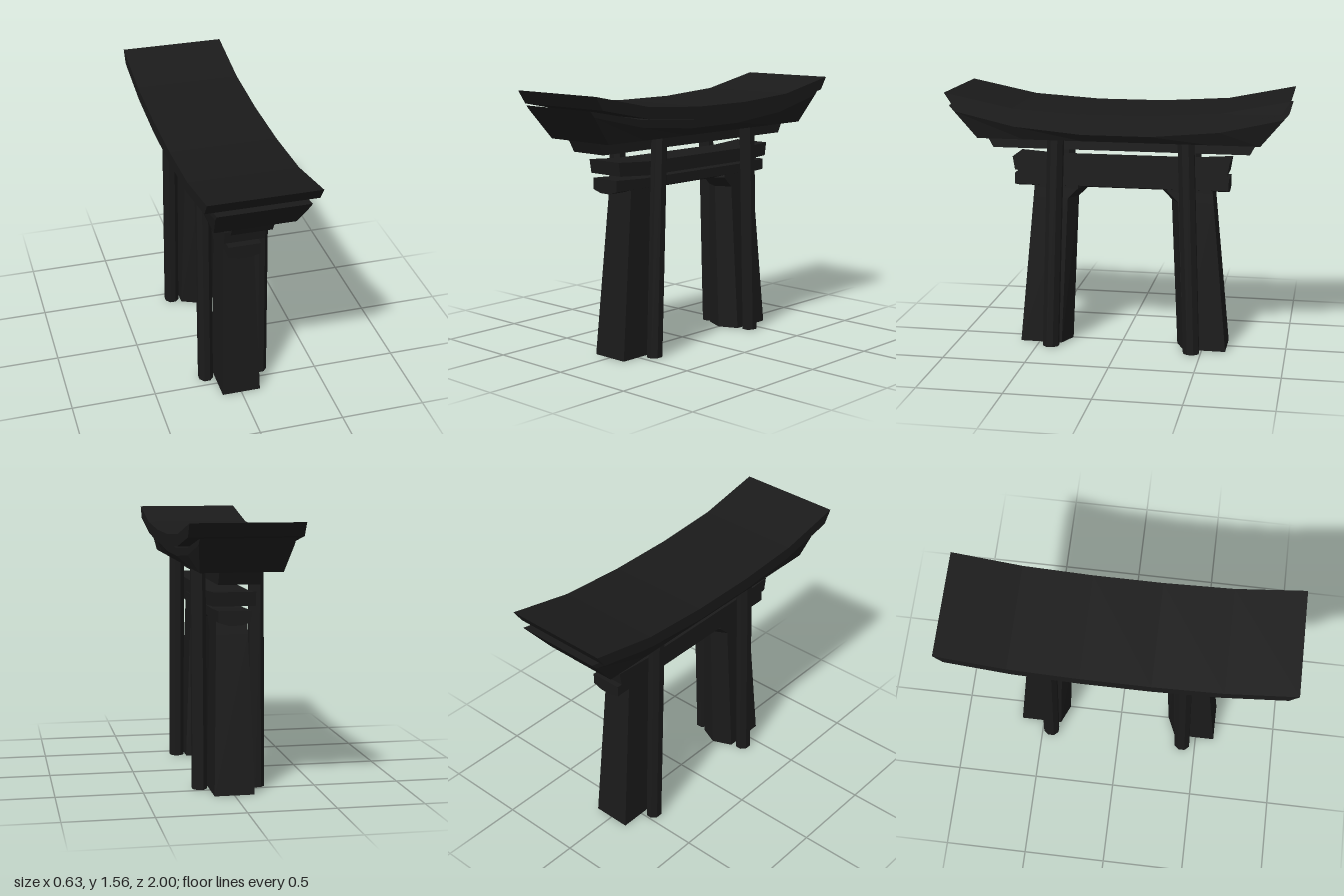
import * as THREE from 'three';

const dark = new THREE.MeshStandardMaterial({ color: 0x1a1a1a, flatShading: true });

// Skins a list of closed rings of [x, y, z] points and caps both ends.
function loft(name, rings) {
  const pos = [];
  const tri = (a, b, c) => pos.push(...a, ...b, ...c);
  const n = rings[0].length;
  for (let i = 0; i < rings.length - 1; i++) {
    for (let j = 0; j < n; j++) {
      const k = (j + 1) % n;
      const a = rings[i][j], b = rings[i][k], c = rings[i + 1][k], d = rings[i + 1][j];
      tri(a, b, c);
      tri(a, c, d);
    }
  }
  const first = rings[0], last = rings[rings.length - 1];
  for (let j = 1; j < n - 1; j++) {
    tri(first[0], first[j + 1], first[j]);
    tri(last[0], last[j], last[j + 1]);
  }
  const geometry = new THREE.BufferGeometry();
  geometry.setAttribute('position', new THREE.Float32BufferAttribute(pos, 3));
  geometry.computeVertexNormals();
  const mesh = new THREE.Mesh(geometry, dark);
  mesh.name = name;
  return mesh;
}

// Beam along z, mirrored in x and z. Each station lists
// [halfWidth, y, z] from top to bottom, stations run from the end to the middle.
function beam(name, stations) {
  const mirrored = stations.map(s => s.map(([w, y, z]) => [w, y, -z])).reverse();
  const rings = [...stations, ...mirrored].map(levels => [
    ...levels,
    ...levels.map(([w, y, z]) => [-w, y, z]).reverse(),
  ]);
  return loft(name, rings);
}

// Tapered leg with a flat outer face, an inner ridge and a flared bracket on top.
function leg() {
  const rings = [
    // y, half width, outer z, shoulder z, ridge z
    [0, 0.115, 0.63, 0.375, 0.325],
    [0.905, 0.091, 0.543, 0.333, 0.283],
    [0.967, 0.09, 0.537, 0.27, 0.22],
    [0.99, 0.09, 0.535, 0.27, 0.22],
  ].map(([y, w, o, s, r]) => [[w, y, o], [w, y, s], [0, y, r], [-w, y, s], [-w, y, o]]);
  return loft('leg', rings);
}

// Eight-sided side post leaning slightly towards the middle.
function post(x) {
  const ring = (y, z) => Array.from({ length: 8 }, (_, i) => {
    const a = (i + 0.5) * Math.PI / 4;
    return [x + 0.0455 * Math.cos(a), y, z - 0.051 * Math.sin(a)];
  });
  return loft('sidePost', [ring(0, 0.43), ring(1.285, 0.385)]);
}

export function createModel() {
  const model = new THREE.Group();
  model.name = 'gate';

  // Curved roof slab
  model.add(beam('roofSlab', [
    [[0.313, 1.556, 1], [0.313, 1.48, 0.95]],
    [[0.313, 1.475, 0.6], [0.313, 1.405, 0.58]],
    [[0.313, 1.45, 0.2], [0.313, 1.376, 0.2]],
  ]));

  // Curved lintel with tapered underside and raked ends
  model.add(beam('upperLintel', [
    [[0.258, 1.475, 0.99], [0.258, 1.44, 0.96], [0.23, 1.28, 0.83]],
    [[0.258, 1.4, 0.6], [0.258, 1.358, 0.6], [0.23, 1.28, 0.55]],
    [[0.258, 1.37, 0.2], [0.258, 1.322, 0.2], [0.23, 1.28, 0.2]],
  ]));

  // Straight beam under the lintel
  model.add(beam('underBeam', [
    [[0.119, 1.282, 0.805], [0.119, 1.208, 0.765]],
  ]));

  // Upturned tie beam
  model.add(beam('tieBeam', [
    [[0.118, 1.155, 0.648], [0.118, 1.075, 0.635]],
    [[0.118, 1.14, 0.42], [0.118, 1.06, 0.42]],
  ]));

  // Lower beam with chamfered underside resting on the legs
  model.add(beam('lowerBeam', [
    [[0.094, 1.05, 0.643], [0.094, 0.985, 0.643], [0.035, 0.967, 0.643]],
    [[0.094, 1.04, 0.42], [0.094, 0.985, 0.42], [0.035, 0.967, 0.42]],
  ]));

  // Two supports, each a leg with a pair of side posts
  const supports = new THREE.Group();
  supports.name = 'supports';
  supports.position.z = -0.013;
  for (const [name, turn] of [['frontSupport', 0], ['backSupport', Math.PI]]) {
    const support = new THREE.Group();
    support.name = name;
    support.rotation.y = turn;
    support.add(leg(), post(0.168), post(-0.168));
    supports.add(support);
  }
  model.add(supports);
  return model;
}
